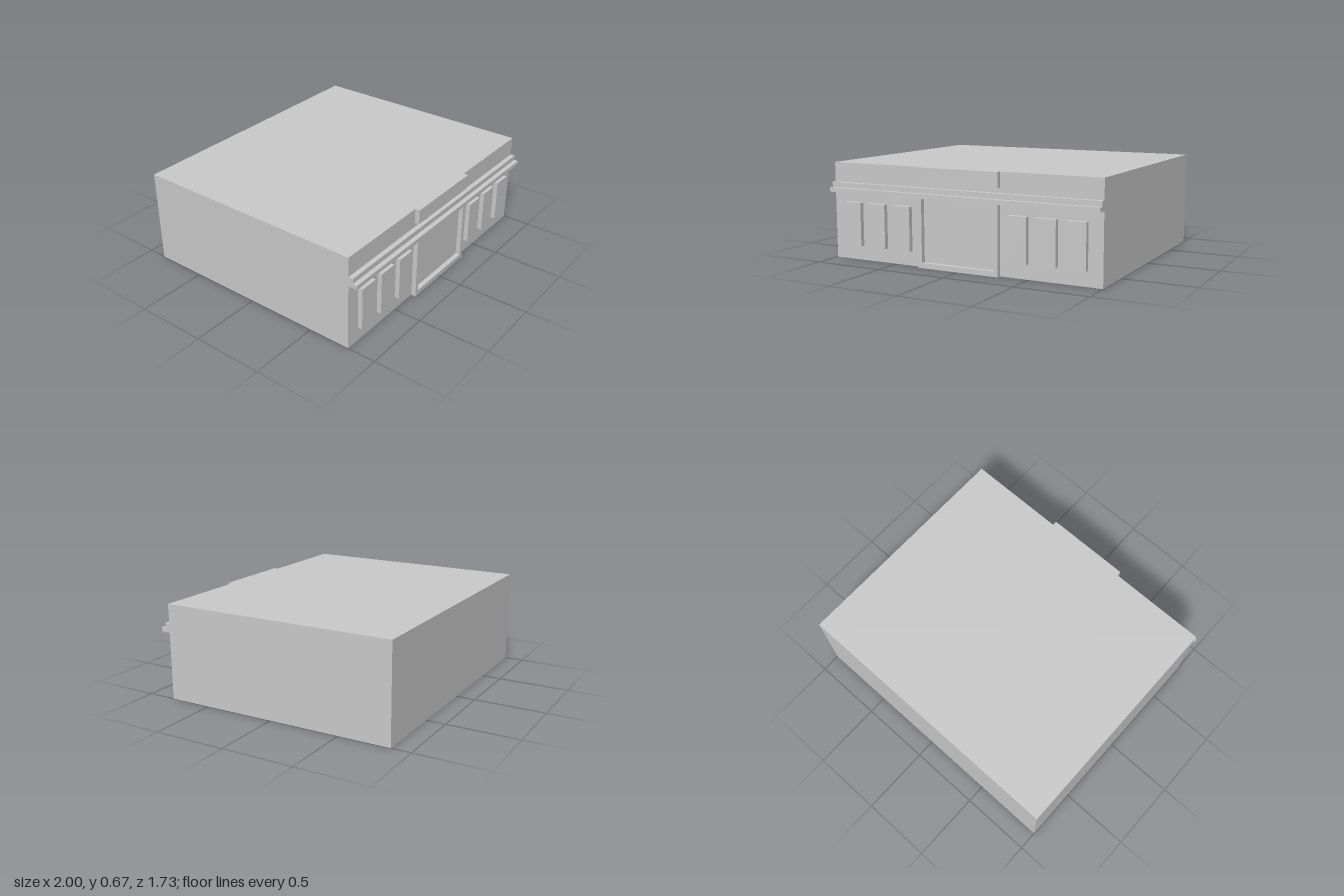
import * as THREE from 'three';

const WALL = 0.8;     // front wall plane
const TRIM = 0.833;   // face of the shallow trim
const HEIGHT = 0.67;

export function createModel() {
  const model = new THREE.Group();
  model.name = 'building';
  const material = new THREE.MeshStandardMaterial({ color: 0xcccccc, flatShading: true });

  // Box given by its limits on each axis
  function box(name, x0, x1, y0, y1, z0, z1, parent = model) {
    const mesh = new THREE.Mesh(new THREE.BoxGeometry(x1 - x0, y1 - y0, z1 - z0), material);
    mesh.position.set((x0 + x1) / 2, (y0 + y1) / 2, (z0 + z1) / 2);
    mesh.name = name;
    parent.add(mesh);
  }

  // Main block
  box('mainBlock', -1, 1, 0, HEIGHT, -0.865, WALL);

  // Stepped cornice across the whole front
  box('corniceLedge', -1, 1, 0.47, 0.5, WALL, 0.865);
  box('corniceUpperStep', -1, 1, 0.5, 0.535, WALL, TRIM);

  // Sign panel above the cornice
  box('signPanel', -0.3, 0.3, 0.568, HEIGHT, WALL, TRIM);

  // Entrance surround: two jambs and a sill, open up to the cornice
  const surround = new THREE.Shape([
    [-0.3, 0], [0.3, 0], [0.3, 0.47], [0.27, 0.47],
    [0.27, 0.035], [-0.27, 0.035], [-0.27, 0.47], [-0.3, 0.47],
  ].map(([x, y]) => new THREE.Vector2(x, y)));
  const entrance = new THREE.Mesh(
    new THREE.ExtrudeGeometry(surround, { depth: TRIM - WALL, bevelEnabled: false }), material);
  entrance.position.z = WALL;
  entrance.name = 'entranceSurround';
  model.add(entrance);

  // Three raised window panels on each side
  const windows = new THREE.Group();
  windows.name = 'windows';
  model.add(windows);
  for (const side of [-1, 1]) {
    for (let i = 0; i < 3; i++) {
      const x = side * (0.434 + 0.2 * i);
      box(`${side > 0 ? 'left' : 'right'}Window${i + 1}`,
        x - 0.067, x + 0.067, 0.1, 0.402, WALL, TRIM, windows);
    }
  }

  return model;
}
